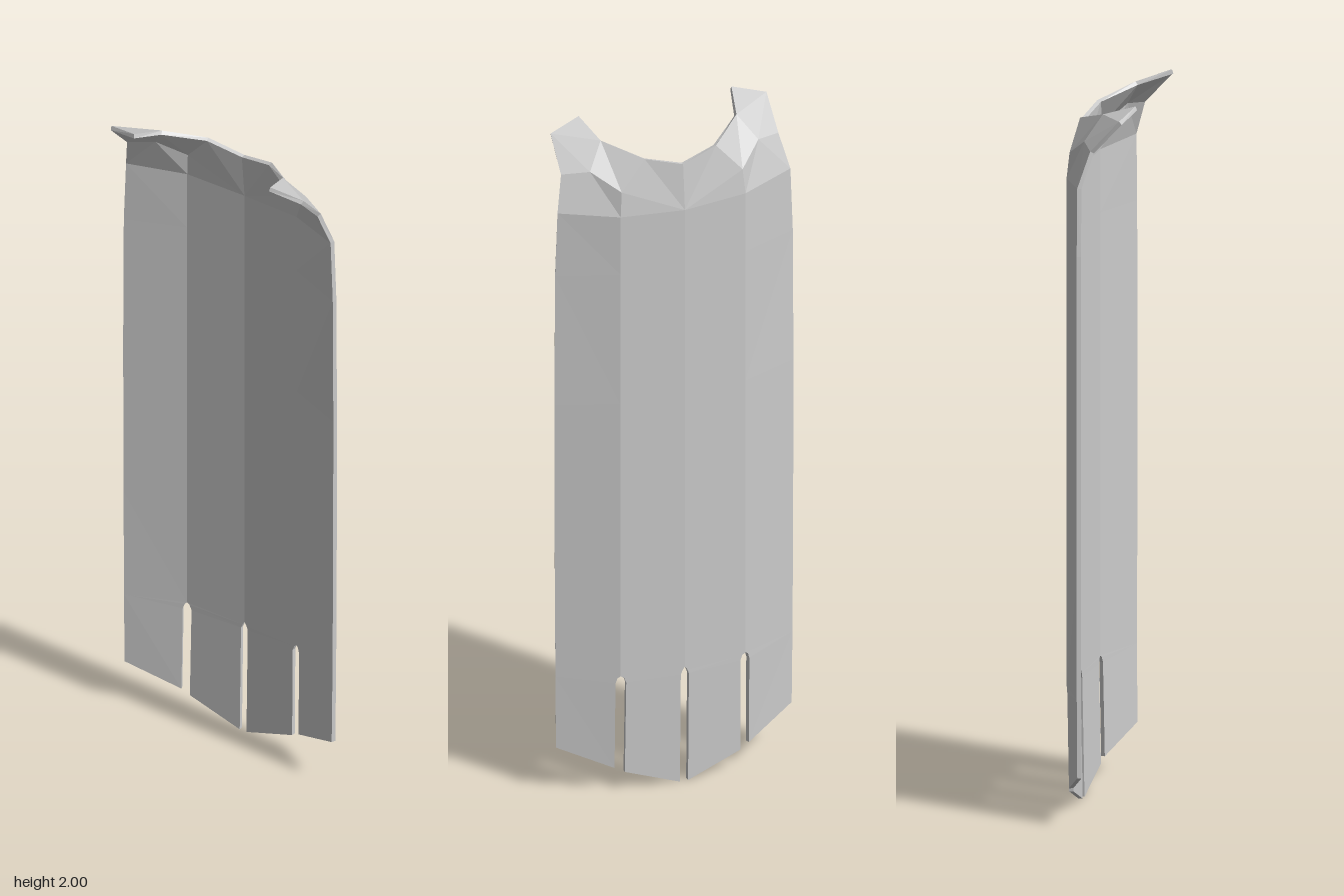
import * as THREE from 'three';

const THICKNESS = 0.012;

// Outer-surface points of the +x half
const P = {
  // neckline and shoulder tip
  neckMid: [0, 1.905, -0.1], neckIn: [0.105, 1.932, -0.08], neckOut: [0.2, 1.967, 0.005],
  tip: [0.225, 2.0, 0.102], corner: [0.318, 1.977, 0.077], side: [0.32, 1.89, -0.003],
  // shoulder bend
  bendIn: [0.178, 1.85, -0.093], bendOut: [0.248, 1.9, -0.036],
  // inner flap, with its slot sides
  a: [0.012, 0.003, -0.106], b: [0.17, 0.06, -0.096], c: [0.168, 0.338, -0.1011],
  c2: [0.174, 0.354, -0.1007], e: [0.012, 0.336, -0.1122], e2: [0.007, 0.349, -0.1125],
  // outer flap
  f: [0.198, 0.075, -0.09], g: [0.347, 0.14, -0.033],
  h: [0.197, 0.338, -0.0948], h2: [0.192, 0.354, -0.0968],
};

// Rows of the hanging body: centre C, fold S, side edge E
const rows = [[0.36, 0.349], [0.7, 0.351], [1.2, 0.352], [1.6, 0.35], [1.78, 0.343]];
rows.forEach(([y, x], i) => {
  const last = i === rows.length - 1;
  P['C' + i] = [0, last ? 1.77 : y, -0.113];
  P['S' + i] = [0.184, last ? 1.778 : y, -0.1];
  P['E' + i] = [x, last ? 1.79 : y, -0.034];
});

// Polygons of the +x half, counter-clockwise when seen from the front
const polygons = [
  'a b c e', 'e c c2 e2', 'e2 c2 S0 C0', 'f g E0 h', 'h E0 h2', 'h2 E0 S0',
  'C4 S4 bendIn neckIn neckMid', 'S4 E4 bendOut bendIn', 'E4 side bendOut',
  'bendIn bendOut neckOut neckIn', 'bendOut side corner neckOut', 'neckOut corner tip',
];
for (let i = 0; i < rows.length - 1; i++) {
  polygons.push(`C${i} S${i} S${i + 1} C${i + 1}`, `S${i} E${i} E${i + 1} S${i + 1}`);
}

// Mirror the half and join it along the centre line
function buildSheet() {
  const points = [], ids = {}, tris = [];
  const id = (name, sign) => {
    const [x, y, z] = P[name];
    const key = x === 0 ? name : `${name}:${sign}`;
    if (!(key in ids)) {
      ids[key] = points.length;
      points.push(new THREE.Vector3(x * sign, y, z));
    }
    return ids[key];
  };
  for (const sign of [1, -1]) {
    for (const poly of polygons) {
      const v = poly.split(' ').map((n) => id(n, sign));
      // Mirrored fans start at the same corner but run the other way round
      for (let i = 1; i < v.length - 1; i++) {
        tris.push(sign > 0 ? [v[0], v[i], v[i + 1]] : [v[0], v[i + 1], v[i]]);
      }
    }
  }
  return { points, tris };
}

// Give a sheet thickness: outer face, inner face and walls on every open edge
function thicken({ points, tris }, thickness) {
  const n = points.length;
  const normals = points.map(() => new THREE.Vector3());
  const open = new Map();
  for (const t of tris) {
    const [p, q, r] = t.map((i) => points[i]);
    const normal = q.clone().sub(p).cross(r.clone().sub(p)).normalize();
    t.forEach((i, k) => {
      normals[i].add(normal);
      const j = t[(k + 1) % 3];
      if (!open.delete(`${j}_${i}`)) open.set(`${i}_${j}`, [i, j]);
    });
  }
  const inner = points.map((p, i) => p.clone().addScaledVector(normals[i].normalize(), thickness));
  const index = [];
  for (const [i, j, k] of tris) index.push(i, k, j, i + n, j + n, k + n);
  for (const [i, j] of open.values()) index.push(i, j, j + n, i, j + n, i + n);
  const indexed = new THREE.BufferGeometry().setFromPoints([...points, ...inner]);
  indexed.setIndex(index);
  const geometry = indexed.toNonIndexed();
  geometry.computeVertexNormals();
  return geometry;
}

export function createModel() {
  const group = new THREE.Group();
  group.name = 'cape';
  const cloth = new THREE.MeshStandardMaterial({ color: 0xcccccc });
  cloth.name = 'grey cloth';
  cloth.flatShading = true;
  const mesh = new THREE.Mesh(thicken(buildSheet(), THICKNESS), cloth);
  mesh.name = 'capeCloth';
  group.add(mesh);
  return group;
}
